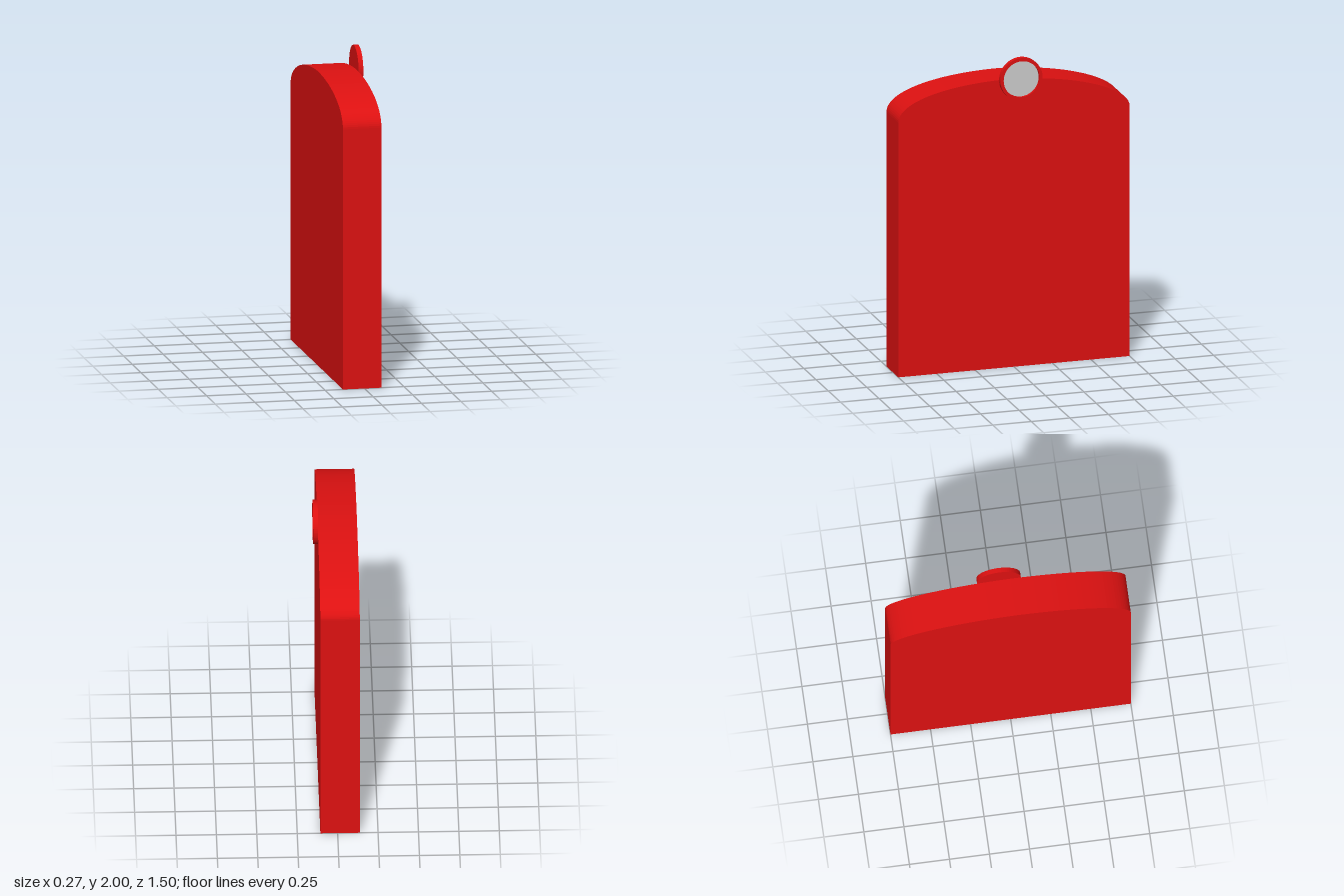
import * as THREE from 'three';

const red = new THREE.MeshStandardMaterial({ color: 0xdd1111 });
const grey = new THREE.MeshStandardMaterial({ color: 0xcccccc });
const blue = new THREE.MeshStandardMaterial({ color: 0x2a8ad4 });

// Arched outline drawn in (-z, y); the slot version is open at the bottom.
function archShape(withSlot) {
  const s = new THREE.Shape();
  s.moveTo(-0.75, 0);
  if (withSlot) {
    s.lineTo(-0.58, 0);
    s.lineTo(-0.58, 1.5);
    s.quadraticCurveTo(0, 1.78, 0.58, 1.5);
    s.lineTo(0.58, 0);
  }
  s.lineTo(0.75, 0);
  s.lineTo(0.75, 1.62);
  s.bezierCurveTo(0.75, 1.73, 0.42, 1.85, -0.03, 1.862);
  s.bezierCurveTo(-0.42, 1.862, -0.75, 1.78, -0.75, 1.645);
  s.closePath();
  return s;
}

// Extrude a side-on shape from x0 to x1.
function slab(name, shape, x0, x1, material) {
  const geo = new THREE.ExtrudeGeometry(shape, { depth: x1 - x0, bevelEnabled: false, curveSegments: 32 });
  geo.rotateY(Math.PI / 2).translate(x0, 0, 0);
  const mesh = new THREE.Mesh(geo, material);
  mesh.name = name;
  return mesh;
}

function disc(name, radius, x0, x1, material) {
  const geo = new THREE.CylinderGeometry(radius, radius, x1 - x0, 48);
  geo.rotateZ(-Math.PI / 2).translate((x0 + x1) / 2, 0, 0);
  const mesh = new THREE.Mesh(geo, material);
  mesh.name = name;
  return mesh;
}

export function createModel() {
  const model = new THREE.Group();
  model.name = 'archedShell';

  // Shell: solid rear, frame around a slot, thin closing face
  model.add(slab('rearShell', archShape(false), -0.137, 0.004, red));
  model.add(slab('slotFrame', archShape(true), 0.004, 0.102, red));
  model.add(slab('outerFace', archShape(false), 0.102, 0.107, red));

  // Panel lining the slot
  const panel = new THREE.Mesh(new THREE.PlaneGeometry(1.16, 1.5), blue);
  panel.name = 'innerPanel';
  panel.rotation.y = Math.PI / 2;
  panel.position.set(0.006, 0.75, 0);
  model.add(panel);

  // Round badge with a raised rim
  const badge = new THREE.Group();
  badge.name = 'roundBadge';
  const ring = new THREE.Shape().absarc(0, 0, 0.137, 0, Math.PI * 2);
  ring.holes.push(new THREE.Path().absarc(0, 0, 0.116, 0, Math.PI * 2, true));
  badge.add(slab('badgeRim', ring, 0.107, 0.137, red));
  badge.add(disc('badgeBack', 0.118, 0.1075, 0.113, red));
  badge.add(disc('badgeFace', 0.117, 0.113, 0.119, grey));
  badge.position.set(0, 1.863, -0.04);
  model.add(badge);

  return model;
}
